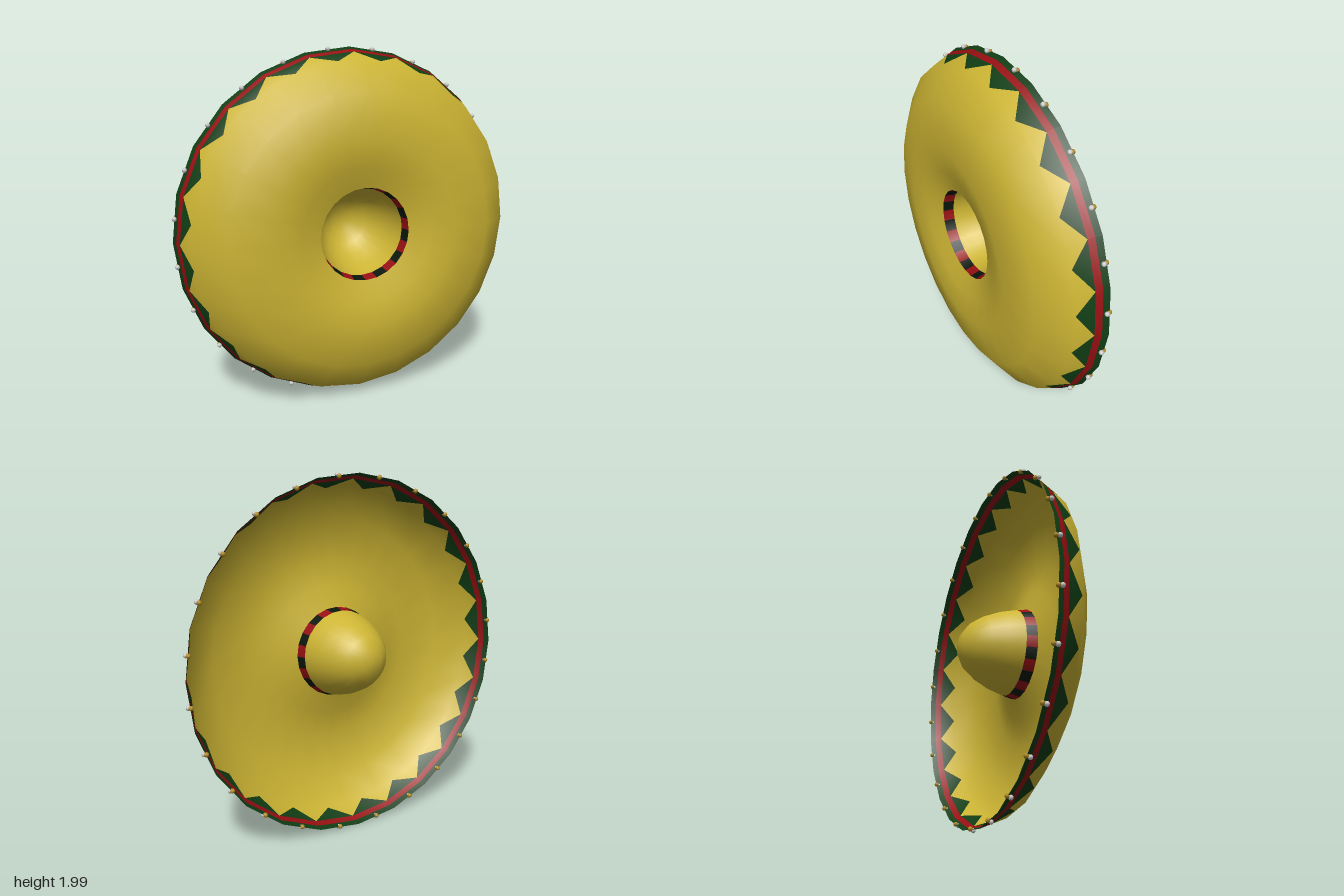
import * as THREE from 'three';

const SIDES = 24;
const STEP = (Math.PI * 2) / SIDES;
const YELLOW = 0xccb433, GREEN = 0x103d14, RED = 0x960f12, DARK = 0x0a160c, GOLD = 0xb08a20;

// Profiles as [radius, z], running from the outside towards the axis
const BRIM = [[0.993, -0.085], [0.93, 0.065], [0.76, 0.175], [0.52, 0.215], [0.38, 0.188], [0.26, 0.15]];
const CROWN = [[0.26, 0.15], [0.247, 0.09], [0.222, 0], [0.182, -0.088], [0.13, -0.16], [0.065, -0.203], [0, -0.215]];

// Smooth profile normals: average of the neighbouring segments
function profileNormals(profile) {
  const seg = profile.slice(1).map((p, i) =>
    new THREE.Vector2(p[1] - profile[i][1], profile[i][0] - p[0]).normalize());
  return profile.map((p, i) => {
    if (p[0] === 0) return new THREE.Vector2(0, 1);
    return new THREE.Vector2().add(seg[i - 1] ?? seg[i]).add(seg[i] ?? seg[i - 1]).normalize();
  });
}

// Flat-sided band between two profile points. cells(i) gives triangles of [u, t]
// for side i: u runs along the side, t from the outer to the inner point.
function addBand(out, profile, k, cells) {
  const normals = profileNormals(profile);
  const [a, b] = [profile[k], profile[k + 1]];
  for (let i = 0; i < SIDES; i++) {
    const c0 = Math.cos(i * STEP), s0 = Math.sin(i * STEP);
    const c1 = Math.cos((i + 1) * STEP), s1 = Math.sin((i + 1) * STEP);
    for (const [u, t] of cells(i)) {
      const c = c0 + (c1 - c0) * u, s = s0 + (s1 - s0) * u;
      const r = a[0] + (b[0] - a[0]) * t;
      const n = normals[k].clone().lerp(normals[k + 1], t);
      const v = new THREE.Vector3(c * n.x, s * n.x, n.y).normalize();
      out.pos.push(c * r, s * r, a[1] + (b[1] - a[1]) * t);
      out.nor.push(v.x, v.y, v.z);
    }
  }
  return out;
}

const empty = () => ({ pos: [], nor: [] });
const strip = (t0, t1) => () => [[0, t0], [1, t0], [1, t1], [0, t0], [1, t1], [0, t1]];

function surface(name, color, data) {
  const g = new THREE.BufferGeometry();
  g.setAttribute('position', new THREE.Float32BufferAttribute(data.pos, 3));
  g.setAttribute('normal', new THREE.Float32BufferAttribute(data.nor, 3));
  const mesh = new THREE.Mesh(g, new THREE.MeshStandardMaterial({ color, side: THREE.DoubleSide }));
  mesh.name = name;
  return mesh;
}

export function createModel() {
  const hat = new THREE.Group();
  hat.name = 'wideBrimmedHat';

  // Brim, with yellow notches running down between the teeth of the border
  const low = 0.42, high = 0.97;
  const brim = empty();
  for (let k = 1; k < BRIM.length - 1; k++) addBand(brim, BRIM, k, strip(0, 1));
  addBand(brim, BRIM, 0, () => [
    [0, low], [0.5, high], [0, 1],
    [1, low], [1, 1], [0.5, high],
    [0, 1], [0.5, high], [1, 1],
  ]);
  hat.add(surface('brim', YELLOW, brim));

  // Border: green edge, red stripe, green teeth
  const border = addBand(empty(), BRIM, 0, strip(0, 0.2));
  addBand(border, BRIM, 0, () => [[0, low], [1, low], [0.5, high]]);
  hat.add(surface('greenBorder', GREEN, border));
  hat.add(surface('redStripe', RED, addBand(empty(), BRIM, 0, strip(0.2, low))));

  // Crown with a checked hatband at its base
  const crown = empty();
  for (let k = 1; k < CROWN.length - 1; k++) addBand(crown, CROWN, k, strip(0, 1));
  hat.add(surface('crown', YELLOW, crown));
  [RED, DARK].forEach((color, parity) => {
    const checks = addBand(empty(), CROWN, 0, (i) => (i % 2 === parity ? strip(0, 1)() : []));
    hat.add(surface(parity ? 'darkHatbandChecks' : 'redHatbandChecks', color, checks));
  });

  // Small beads around the edge, one in the middle of each side
  const beads = new THREE.Group();
  beads.name = 'edgeBeads';
  const ball = new THREE.SphereGeometry(0.013, 8, 6);
  const silver = new THREE.MeshStandardMaterial({ color: 0xcccccc });
  const gold = new THREE.MeshStandardMaterial({ color: GOLD });
  for (let i = 0; i < SIDES; i++) {
    const a = (i + 0.5) * STEP;
    for (const [name, mat, r, z] of [['silverBead', silver, 0.988, -0.068], ['goldBead', gold, 0.981, -0.085]]) {
      const bead = new THREE.Mesh(ball, mat);
      bead.name = name;
      bead.position.set(Math.cos(a) * r, Math.sin(a) * r, z);
      beads.add(bead);
    }
  }
  hat.add(beads);

  hat.position.y = 1;
  const model = new THREE.Group();
  model.name = 'hat';
  model.add(hat);
  return model;
}
